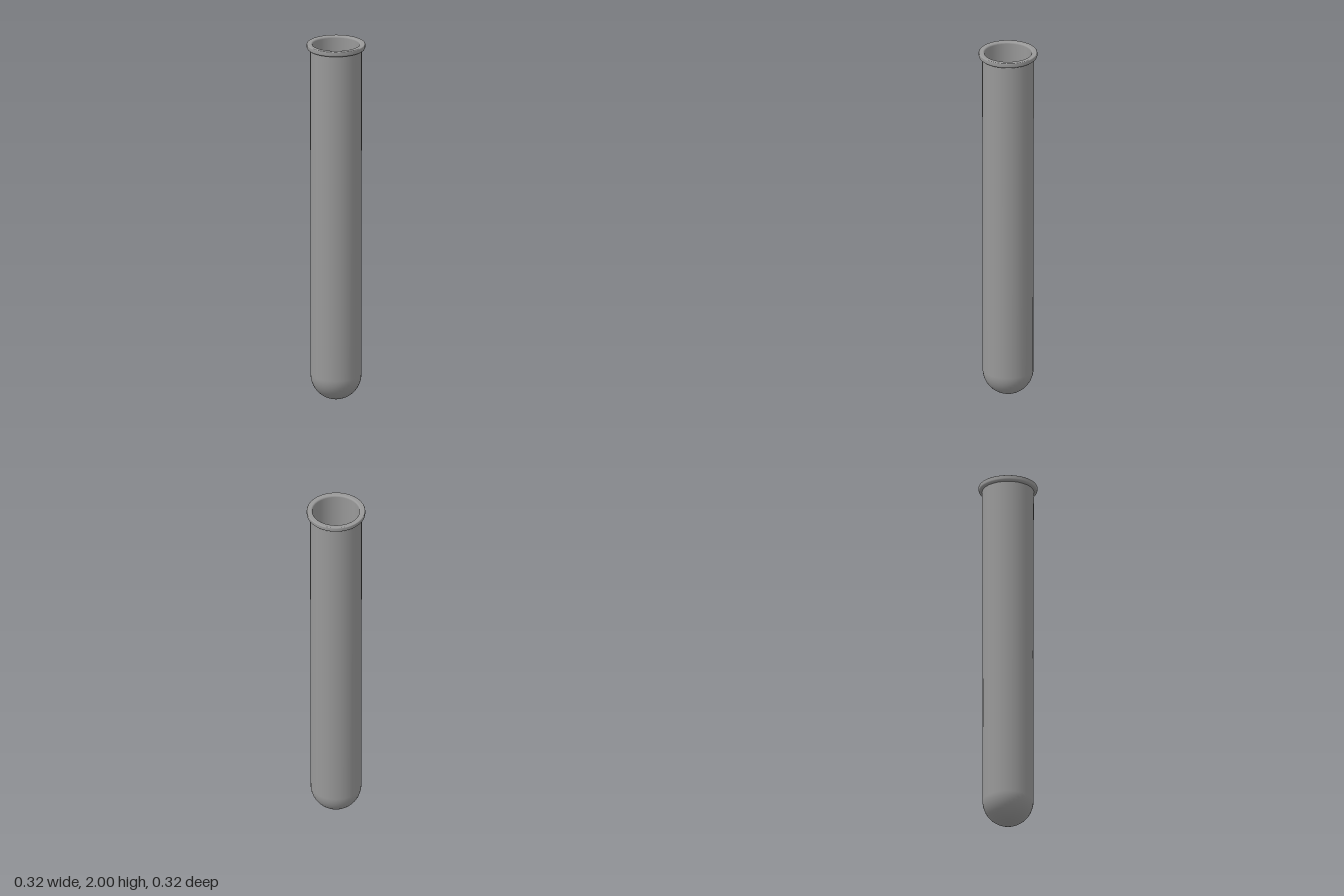
import * as THREE from 'three';

const SEGMENTS = 36;

// Points along a circular arc, angles in quarter turns
function arc(cx, cy, r, from, to, steps) {
  return Array.from({ length: steps + 1 }, (_, i) => {
    const a = (from + (to - from) * i / steps) * Math.PI / 2;
    return new THREE.Vector2(Math.max(0, cx + r * Math.cos(a)), cy + r * Math.sin(a));
  });
}

export function createModel() {
  const group = new THREE.Group();
  group.name = 'testTube';
  const material = new THREE.MeshStandardMaterial({ color: 0x999999, side: THREE.DoubleSide });

  const addLathe = (name, points) => {
    const mesh = new THREE.Mesh(new THREE.LatheGeometry(points, SEGMENTS), material);
    mesh.name = name;
    group.add(mesh);
  };

  // Outer wall: round bottom and a very slightly widening tube
  addLathe('outerWall', [
    ...arc(0, 0.137, 0.137, -1, 0, 14),
    new THREE.Vector2(0.139, 1.975),
  ]);

  // Rim: rounded underside, flat top, softly rounded inner lip
  addLathe('rim', [
    new THREE.Vector2(0.137, 1.97),
    ...arc(0.146, 1.982, 0.012, -1, 0, 6),
    ...arc(0.153, 1.995, 0.005, 0, 1, 5),
    ...arc(0.136, 1.991, 0.009, 1, 2, 6),
  ]);

  // Inner wall, running from the lip down to the round floor
  addLathe('innerWall', [
    new THREE.Vector2(0.127, 1.991),
    ...arc(0, 0.137, 0.125, 0, -1, 14),
  ]);

  return group;
}
